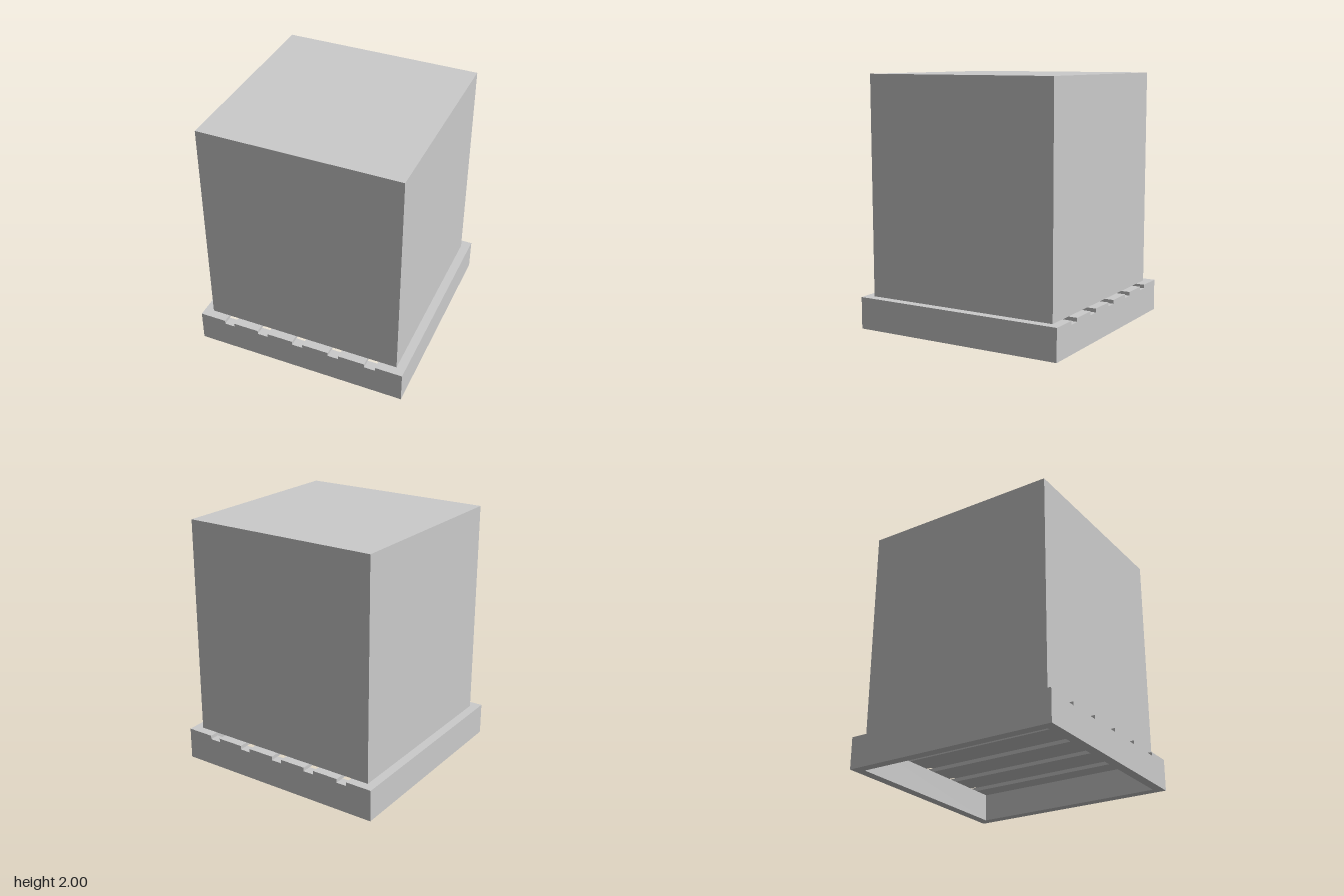
import * as THREE from 'three';

const material = new THREE.MeshStandardMaterial({ color: 0xcccccc, flatShading: true });

const HALF = 0.872;      // half width of the pallet
const INNER = 0.795;     // half width of the open underside
const DECK_BOTTOM = 0.225;
const DECK_TOP = 0.255;
const CRATE_HALF = 0.8;

function addBox(parent, name, [x0, x1], [y0, y1], [z0, z1]) {
  const mesh = new THREE.Mesh(new THREE.BoxGeometry(x1 - x0, y1 - y0, z1 - z0), material);
  mesh.position.set((x0 + x1) / 2, (y0 + y1) / 2, (z0 + z1) / 2);
  mesh.name = name;
  parent.add(mesh);
}

function squarePath(PathClass, h) {
  return new PathClass([[-h, -h], [h, -h], [h, h], [-h, h]].map(([x, y]) => new THREE.Vector2(x, y)));
}

export function createModel() {
  const model = new THREE.Group();
  model.name = 'crateOnPallet';

  const pallet = new THREE.Group();
  pallet.name = 'pallet';
  model.add(pallet);

  // Hollow square frame, open below
  const outline = squarePath(THREE.Shape, HALF);
  outline.holes.push(squarePath(THREE.Path, INNER));
  const frameGeometry = new THREE.ExtrudeGeometry(outline, { depth: DECK_BOTTOM, bevelEnabled: false });
  frameGeometry.rotateX(-Math.PI / 2);
  const frame = new THREE.Mesh(frameGeometry, material);
  frame.name = 'palletFrame';
  pallet.add(frame);

  // Deck planks running front to back, with narrow gaps between them
  const planks = [
    [-HALF, -0.656], [-0.573, -0.36], [-0.272, -0.055],
    [0.033, 0.253], [0.342, 0.56], [0.65, HALF],
  ];
  planks.forEach((span, i) =>
    addBox(pallet, `deckPlank${i + 1}`, span, [DECK_BOTTOM, DECK_TOP], [-HALF, HALF]));

  // Large plain crate resting on the deck
  const side = [-CRATE_HALF, CRATE_HALF];
  addBox(model, 'crate', side, [DECK_TOP, 2], side);

  return model;
}
